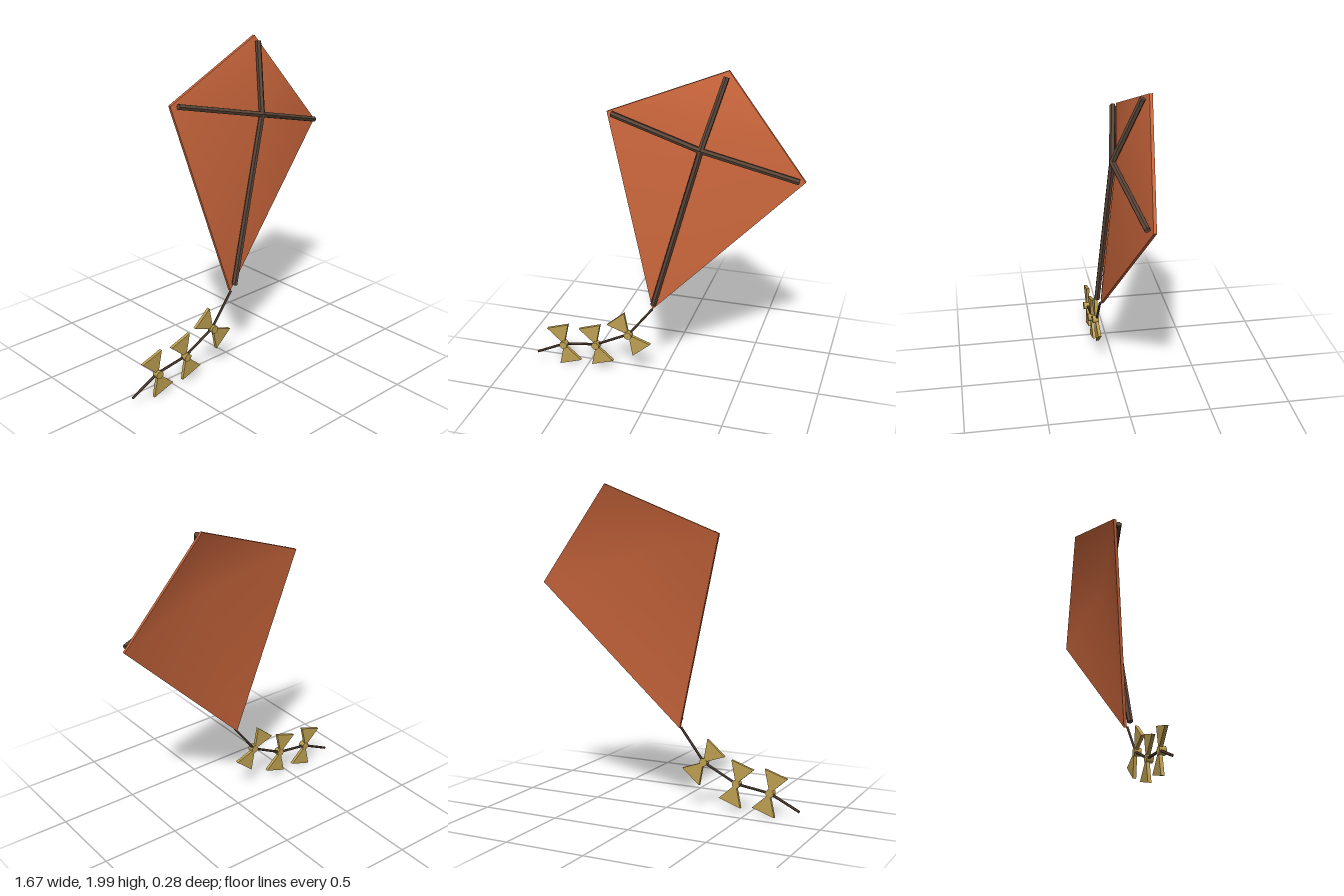
import * as THREE from 'three';

const material = (name, color, side = THREE.FrontSide) => {
  const m = new THREE.MeshStandardMaterial({ color, side });
  m.name = name;
  return m;
};
const V = (x, y, z) => new THREE.Vector3(x, y, z);

export function createModel() {
  const kite = new THREE.Group();
  kite.name = 'kite';
  const cloth = material('orange cloth', 0xc8653b, THREE.DoubleSide);
  const wood = material('dark wood', 0x5a4538);
  const ribbon = material('gold ribbon', 0xbfa052);

  const add = (parent, name, geometry, mat) => {
    const mesh = new THREE.Mesh(geometry, mat);
    mesh.name = name;
    parent.add(mesh);
    return mesh;
  };

  // Straight six-sided rod between two points
  const rod = (parent, name, a, b, radius) => {
    const dir = b.clone().sub(a);
    const geo = new THREE.CylinderGeometry(radius, radius, dir.length(), 6).toNonIndexed();
    geo.computeVertexNormals();
    const mesh = add(parent, name, geo, wood);
    mesh.position.copy(a).add(b).multiplyScalar(0.5);
    mesh.quaternion.setFromUnitVectors(V(0, 1, 0), dir.normalize());
  };

  // Sail: four corners bent back around a raised centre
  const centre = V(0.235, 1.568, 0.035);
  const corners = [
    V(0.35, 2.0, -0.13), V(-0.375, 1.712, -0.066),
    V(-0.05, 0.5, 0.087), V(0.835, 1.39, -0.066),
  ];
  const half = 0.009;
  const sail = new THREE.Group();
  sail.name = 'sail';
  kite.add(sail);
  const fan = (name, dz, order) => {
    const geo = new THREE.BufferGeometry().setFromPoints(
      [centre, ...corners].map((p) => V(p.x, p.y, p.z + dz)));
    geo.setIndex(order);
    geo.computeVertexNormals();
    add(sail, name, geo, cloth);
  };
  fan('sailFront', half, [0, 1, 2, 0, 2, 3, 0, 3, 4, 0, 4, 1]);
  fan('sailBack', -half, [0, 2, 1, 0, 3, 2, 0, 4, 3, 0, 1, 4]);

  // Thin hem joining front and back
  const hem = [];
  corners.forEach((a, i) => {
    const b = corners[(i + 1) % 4];
    const [af, ab, bf, bb] = [[a, half], [a, -half], [b, half], [b, -half]]
      .map(([p, d]) => V(p.x, p.y, p.z + d));
    hem.push(af, ab, bf, bf, ab, bb);
  });
  const hemGeo = new THREE.BufferGeometry().setFromPoints(hem);
  hemGeo.computeVertexNormals();
  add(sail, 'sailHem', hemGeo, cloth);

  // Spars run from the hub to just short of each corner
  const hub = V(0.235, 1.568, 0.066);
  const ends = [
    V(0.344, 1.972, -0.085), V(-0.337, 1.708, -0.03),
    V(-0.038, 0.545, 0.12), V(0.802, 1.4, -0.03),
  ];
  ['spineTop', 'crossRight', 'spineBottom', 'crossLeft'].forEach(
    (name, i) => rod(kite, name, hub, ends[i], 0.0185));
  // Faceted joint closes the bend where the spars meet
  add(kite, 'sparJoint', new THREE.IcosahedronGeometry(0.0185, 0), wood).position.copy(hub);

  // Tail string
  const tail = [
    V(-0.05, 0.502, 0.1), V(-0.207, 0.297, 0.1), V(-0.427, 0.186, 0.1),
    V(-0.647, 0.155, 0.1), V(-0.836, 0.064, 0.1),
  ];
  for (let i = 0; i < 4; i++) rod(kite, 'tailString', tail[i], tail[i + 1], 0.008);

  // Bows: two flat triangles and a round knot
  const wing = new THREE.Shape([
    new THREE.Vector2(0, 0), new THREE.Vector2(0.076, 0.131), new THREE.Vector2(-0.076, 0.131),
  ]);
  const wingGeo = new THREE.ExtrudeGeometry(wing, { depth: 0.02, bevelEnabled: false });
  wingGeo.translate(0, 0, -0.01);
  const knotGeo = new THREE.CylinderGeometry(0.026, 0.026, 0.04, 8);
  knotGeo.rotateX(Math.PI / 2);
  [0.71, 0.325, 0.315].forEach((angle, i) => {
    const bow = new THREE.Group();
    bow.name = 'tailBow';
    bow.position.copy(tail[i + 1]);
    bow.rotation.z = angle;
    add(bow, 'bowUpper', wingGeo, ribbon);
    add(bow, 'bowLower', wingGeo, ribbon).rotation.z = Math.PI;
    add(bow, 'bowKnot', knotGeo, ribbon).position.z = 0.008;
    kite.add(bow);
  });

  return kite;
}
